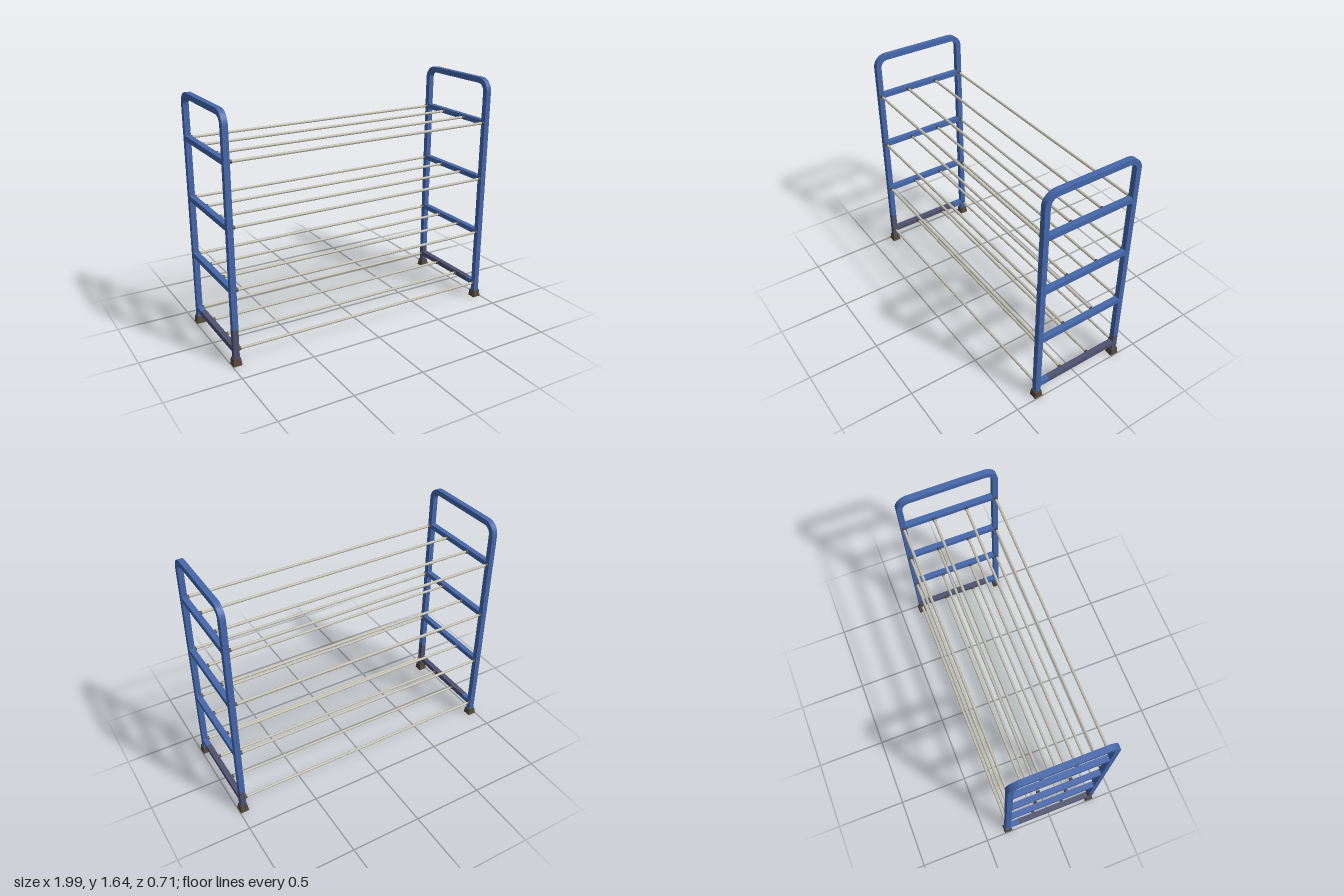
import * as THREE from 'three';

const mat = (name, color) => Object.assign(new THREE.MeshStandardMaterial({ color }), { name });

export function createModel() {
  const rack = new THREE.Group();
  rack.name = 'shoeRack';
  const blue = mat('blue paint', 0x4668ac);
  const dusk = mat('dark slate', 0x50536f);
  const steel = mat('steel', 0xc2c0b2);
  const rubber = mat('brown rubber', 0x54493d);

  const T = 0.038, H = T / 2;           // square tube size
  const FX = 0.967, LZ = 0.327;         // frame and leg positions
  const TOP = 1.643, FOOT = 0.05;
  const levels = [0.107, 0.516, 0.926, 1.335];

  const add = (parent, name, geo, material, x, y, z) => {
    const m = new THREE.Mesh(geo, material);
    m.name = name;
    m.position.set(x, y, z);
    parent.add(m);
    return m;
  };
  const box = (parent, name, material, sx, y0, y1, z0, z1) =>
    add(parent, name, new THREE.BoxGeometry(sx, y1 - y0, z1 - z0), material, 0, (y0 + y1) / 2, (z0 + z1) / 2);

  // Side frame: a hoop with rounded top corners, drawn in its own plane
  const hoop = (leftEnd, rightEnd) => {
    const o = LZ + H, i = LZ - H, R = 0.09, r = R - T;
    const s = new THREE.Shape();
    s.moveTo(-o, leftEnd);
    s.lineTo(-i, leftEnd);
    s.lineTo(-i, TOP - R);
    s.absarc(-o + R, TOP - R, r, Math.PI, Math.PI / 2, true);
    s.lineTo(o - R, TOP - T);
    s.absarc(o - R, TOP - R, r, Math.PI / 2, 0, true);
    s.lineTo(i, rightEnd);
    s.lineTo(o, rightEnd);
    s.lineTo(o, TOP - R);
    s.absarc(o - R, TOP - R, R, 0, Math.PI / 2, false);
    s.lineTo(-o + R, TOP);
    s.absarc(-o + R, TOP - R, R, Math.PI / 2, Math.PI, false);
    s.closePath();
    const g = new THREE.ExtrudeGeometry(s, { depth: T, bevelEnabled: false, curveSegments: 8 });
    g.translate(0, 0, -H);
    return g.rotateY(-Math.PI / 2);     // shape x becomes z
  };

  // The two side frames are the same part turned half round
  const footGeo = new THREE.CylinderGeometry(0.024 * Math.SQRT2, 0.03 * Math.SQRT2, FOOT, 4).toNonIndexed();
  footGeo.rotateY(Math.PI / 4);
  footGeo.computeVertexNormals();
  for (const side of [1, -1]) {
    const frame = new THREE.Group();
    frame.name = side > 0 ? 'leftFrame' : 'rightFrame';
    frame.position.x = side * FX;
    frame.rotation.y = side > 0 ? 0 : Math.PI;
    rack.add(frame);

    const darkTop = side > 0 ? 0.18 : 0.25;
    add(frame, 'hoop', hoop(darkTop, FOOT), blue, 0, 0, 0);
    box(frame, 'darkLegEnd', dusk, T, FOOT, darkTop, -LZ - H, -LZ + H);

    // Cross bars, the lowest one mostly dark
    const inner = LZ - H;
    levels.forEach((y, k) => {
      const split = k === 0 ? 0.24 : -inner;
      box(frame, 'crossBar', blue, T, y - 0.0175, y + 0.0175, split, inner);
      if (k === 0) box(frame, 'darkCrossBar', dusk, T, y - 0.0175, y + 0.0175, -inner, split);
    });

    // Flared rubber feet
    for (const z of [-LZ, LZ]) add(frame, 'foot', footGeo, rubber, 0, FOOT / 2, z);
  }

  // Shelf rods with a small collar at each end
  const span = 2 * (FX - H);
  const rodGeo = new THREE.CylinderGeometry(0.0093, 0.0093, span, 12).rotateZ(Math.PI / 2);
  const collarGeo = new THREE.CylinderGeometry(0.0125, 0.0125, 0.016, 12).rotateZ(Math.PI / 2);
  levels.forEach((y, k) => {
    const shelf = new THREE.Group();
    shelf.name = 'shelf' + (k + 1);
    rack.add(shelf);
    for (const z of [-LZ, -0.114, 0.114, LZ]) {
      add(shelf, 'rod', rodGeo, steel, 0, y, z);
      for (const s of [-1, 1]) add(shelf, 'collar', collarGeo, rubber, s * (span / 2 - 0.008), y, z);
    }
  });
  return rack;
}
